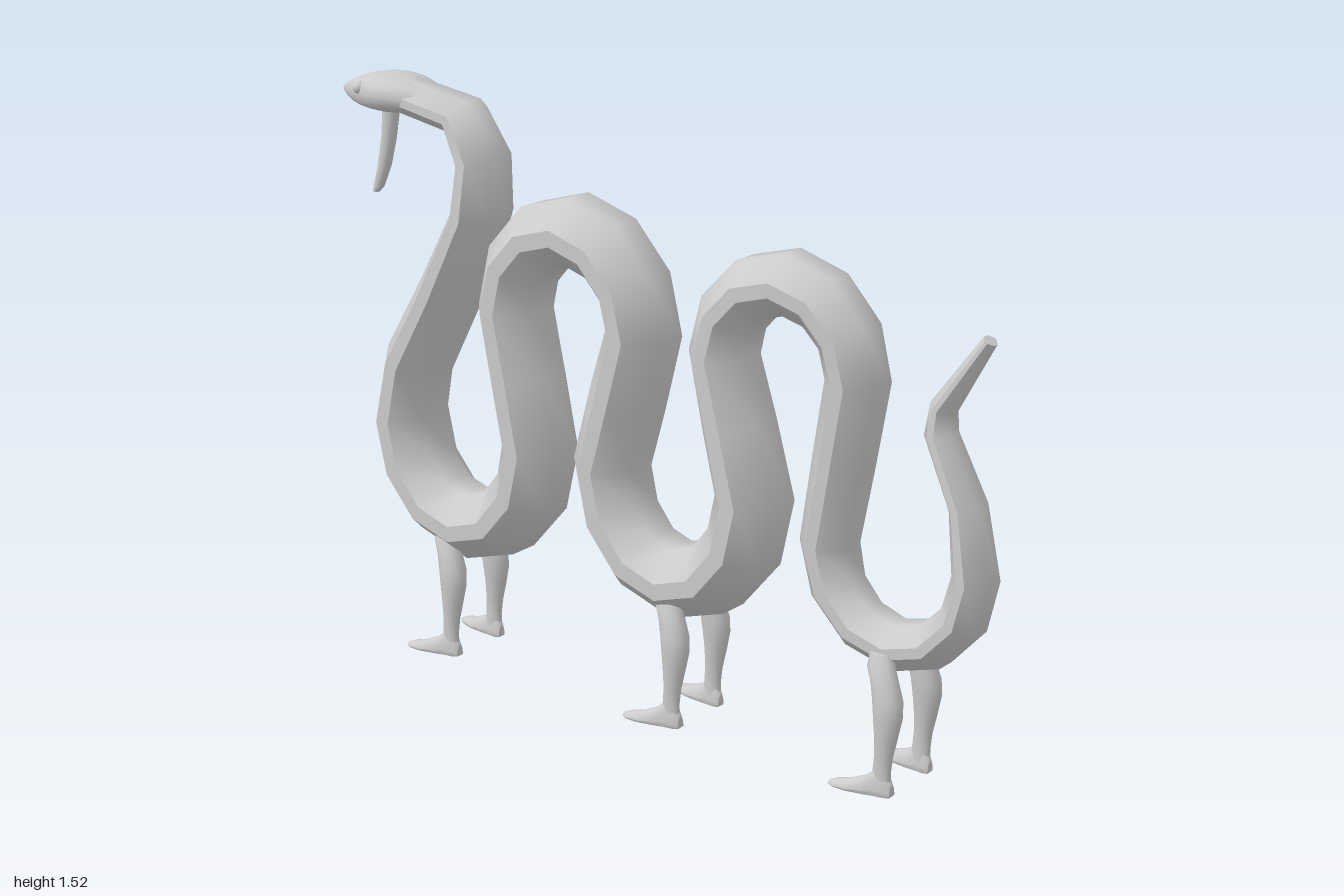
import * as THREE from 'three';

const material = new THREE.MeshStandardMaterial({ color: 0xcccccc });

// Flat end caps with their own corners, so the rims stay sharp
function addCaps(rings, pos, idx) {
  [[rings[0], true], [rings[rings.length - 1], false]].forEach(([ring, start]) => {
    const base = pos.length / 3;
    ring.forEach(p => pos.push(...p));
    for (let j = 1; j < ring.length - 1; j++) {
      idx.push(base, base + (start ? j + 1 : j), base + (start ? j : j + 1));
    }
  });
}

function toGeometry(pos, idx) {
  const g = new THREE.BufferGeometry();
  g.setAttribute('position', new THREE.Float32BufferAttribute(pos, 3));
  g.setIndex(idx);
  g.computeVertexNormals();
  return g;
}

// Skin a list of rings (arrays of [x, y, z]) running counter-clockwise around the travel direction
function skin(rings, closed) {
  const n = rings[0].length, pos = rings.flat(2), idx = [];
  const cols = closed ? n : n - 1;
  for (let i = 0; i < rings.length - 1; i++) {
    for (let j = 0; j < cols; j++) {
      const a = i * n + j, b = i * n + (j + 1) % n;
      idx.push(a, b, a + n, b, b + n, a + n);
    }
  }
  if (closed) addCaps(rings, pos, idx);
  return toGeometry(pos, idx);
}

function mesh(name, geometry) {
  const m = new THREE.Mesh(geometry, material);
  m.name = name;
  return m;
}

// Ellipse ring lying flat, for limbs growing upward
function flatRing(x, y, z, rx, rz, n = 14) {
  return Array.from({ length: n }, (_, k) => {
    const a = k / n * Math.PI * 2;
    return [x + rx * Math.sin(a), y, z + rz * Math.cos(a)];
  });
}

// Centre line from neck to tail as x, y, half thickness, half width:
// neck, then half ellipses alternately below and above, then tail
function buildSpine() {
  const neck = [[-0.81, 1.47, 0.045, 0.07], [-0.59, 1.435, 0.052, 0.078], [-0.53, 1.33, 0.062, 0.09],
    [-0.54, 1.19, 0.064, 0.105], [-0.65, 0.97, 0.073, 0.112], [-0.765, 0.77, 0.08, 0.115]];
  const tail = [[0.915, 0.73, 0.04, 0.062], [0.837, 0.89, 0.036, 0.05],
    [0.842, 0.955, 0.029, 0.044], [0.955, 1.13, 0.016, 0.02]];
  // centre x, centre y, radius x, radius y (negative hangs down), thickness and width from-to
  const bends = [
    [-0.578, 0.61, 0.222, -0.26, 0.085, 0.091, 0.117, 0.117],
    [-0.225, 0.97, 0.205, 0.227, 0.088, 0.087, 0.116, 0.115],
    [0.1, 0.62, 0.219, -0.265, 0.091, 0.089, 0.115, 0.114],
    [0.417, 0.97, 0.191, 0.203, 0.078, 0.072, 0.108, 0.088],
    [0.741, 0.562, 0.201, -0.215, 0.066, 0.05, 0.084, 0.07]];
  const spine = [...neck];
  bends.forEach(([cx, cy, rx, ry, h0, h1, w0, w1], b) => {
    const arc = Array.from({ length: 7 }, (_, k) => {
      const t = k / 6, a = t * Math.PI;
      return [cx - rx * Math.cos(a), cy + ry * Math.sin(a),
        THREE.MathUtils.lerp(h0, h1, t), THREE.MathUtils.lerp(w0, w1, t)];
    });
    // One section halfway along each run between bends
    if (b > 0) spine.push(spine[spine.length - 1].map((v, c) => (v + arc[0][c]) / 2));
    spine.push(...arc);
  });
  return [...spine, ...tail];
}

// Eight-sided body: rounded back and belly, sharp flat bands along both flanks
function buildBody() {
  const body = new THREE.Group();
  body.name = 'body';
  const spine = buildSpine(), last = spine.length - 1;
  const dir = (a, b) => new THREE.Vector2(b[0] - a[0], b[1] - a[1]).normalize();
  const frames = spine.map((p, i) => {
    const t = new THREE.Vector2();
    if (i > 0) t.add(dir(spine[i - 1], p));
    if (i < last) t.add(dir(p, spine[i + 1]));
    return t.normalize();
  });
  const place = (i, [n, z]) => {
    const [x, y, h, w] = spine[i], t = frames[i];
    return [x - t.y * n * h, y + t.x * n * h, z * w];
  };
  const strips = {
    back: [[0.24, -1], [1, -0.36], [1, 0.36], [0.24, 1]],
    leftFlank: [[0.24, 1], [-0.24, 1]],
    belly: [[-0.24, 1], [-1, 0.36], [-1, -0.36], [-0.24, -1]],
    rightFlank: [[-0.24, -1], [0.24, -1]]
  };
  for (const [name, strip] of Object.entries(strips)) {
    body.add(mesh(name, skin(spine.map((_, i) => strip.map(q => place(i, q))), false)));
  }
  // Blunt ends
  const outline = [...strips.back, ...strips.belly], pos = [], idx = [];
  addCaps([0, last].map(i => outline.map(q => place(i, q))), pos, idx);
  body.add(mesh('bodyEnds', toGeometry(pos, idx)));
  return body;
}

function buildHead() {
  const head = new THREE.Group();
  head.name = 'head';
  // x, bottom, top, half width
  const sections = [
    [-1.0, 1.45, 1.465, 0.012], [-0.975, 1.438, 1.482, 0.03], [-0.94, 1.427, 1.497, 0.05],
    [-0.90, 1.421, 1.51, 0.07], [-0.86, 1.419, 1.517, 0.086], [-0.82, 1.419, 1.518, 0.094],
    [-0.78, 1.422, 1.513, 0.088], [-0.73, 1.425, 1.502, 0.07], [-0.68, 1.43, 1.48, 0.05]];
  const soft = v => Math.sign(v) * Math.pow(Math.abs(v), 0.8);
  const rings = sections.map(([x, lo, hi, w]) => Array.from({ length: 16 }, (_, k) => {
    const a = k / 16 * Math.PI * 2;
    return [x, (lo + hi) / 2 + (hi - lo) / 2 * soft(Math.cos(a)), w * soft(Math.sin(a))];
  }));
  head.add(mesh('skull', skin(rings, true)));
  for (const s of [1, -1]) {
    const eye = mesh(s > 0 ? 'leftEye' : 'rightEye', new THREE.SphereGeometry(0.017, 14, 10));
    eye.position.set(-0.89, 1.48, s * 0.067);
    head.add(eye);
  }
  // Hanging tongue, tip to root
  const tongue = [[-0.905, 1.195, 0.01], [-0.895, 1.21, 0.015], [-0.872, 1.27, 0.019],
    [-0.855, 1.34, 0.021], [-0.846, 1.4, 0.023], [-0.84, 1.45, 0.025]];
  head.add(mesh('tongue', skin(tongue.map(([x, y, r]) => flatRing(x, y, 0, r, r * 0.9)), true)));
  return head;
}

function buildLeg(s) {
  const leg = new THREE.Group();
  leg.name = s > 0 ? 'leftLeg' : 'rightLeg';
  // Shin and thigh from ankle up: x, y, z, rx, rz
  const shin = [[0.004, 0.02, 0.085, 0.025, 0.016], [0.004, 0.06, 0.086, 0.024, 0.016],
    [0.008, 0.1, 0.086, 0.024, 0.019], [0.013, 0.15, 0.086, 0.03, 0.025],
    [0.016, 0.2, 0.085, 0.037, 0.031], [0.013, 0.24, 0.083, 0.039, 0.032],
    [0.002, 0.28, 0.08, 0.036, 0.029], [-0.012, 0.315, 0.075, 0.037, 0.027],
    [-0.018, 0.35, 0.066, 0.03, 0.022]];
  leg.add(mesh('shin', skin(shin.map(([x, y, z, a, b]) => flatRing(x, y, z * s, a, b)), true)));
  // Flat-soled foot from toe to heel: x, height, z, half width
  const foot = [[-0.127, 0.008, 0.108, 0.008], [-0.11, 0.015, 0.106, 0.02],
    [-0.075, 0.024, 0.1, 0.026], [-0.035, 0.042, 0.093, 0.024],
    [-0.005, 0.065, 0.088, 0.02], [0.02, 0.06, 0.085, 0.018], [0.032, 0.03, 0.084, 0.012]];
  leg.add(mesh('foot', skin(foot.map(([x, h, z, w]) => Array.from({ length: 14 }, (_, k) => {
    const a = k / 14 * Math.PI * 2;
    return [x, h * Math.max(0, Math.cos(a)), z * s + w * Math.sin(a)];
  })), true)));
  return leg;
}

export function createModel() {
  const model = new THREE.Group();
  model.name = 'leggedSerpent';
  model.add(buildBody(), buildHead());
  // One pair of legs under each lower bend
  [-0.605, 0.13, 0.755].forEach((x, i) => {
    const pair = new THREE.Group();
    pair.name = ['frontLegs', 'middleLegs', 'rearLegs'][i];
    pair.add(buildLeg(1), buildLeg(-1));
    pair.position.x = x;
    model.add(pair);
  });
  return model;
}
